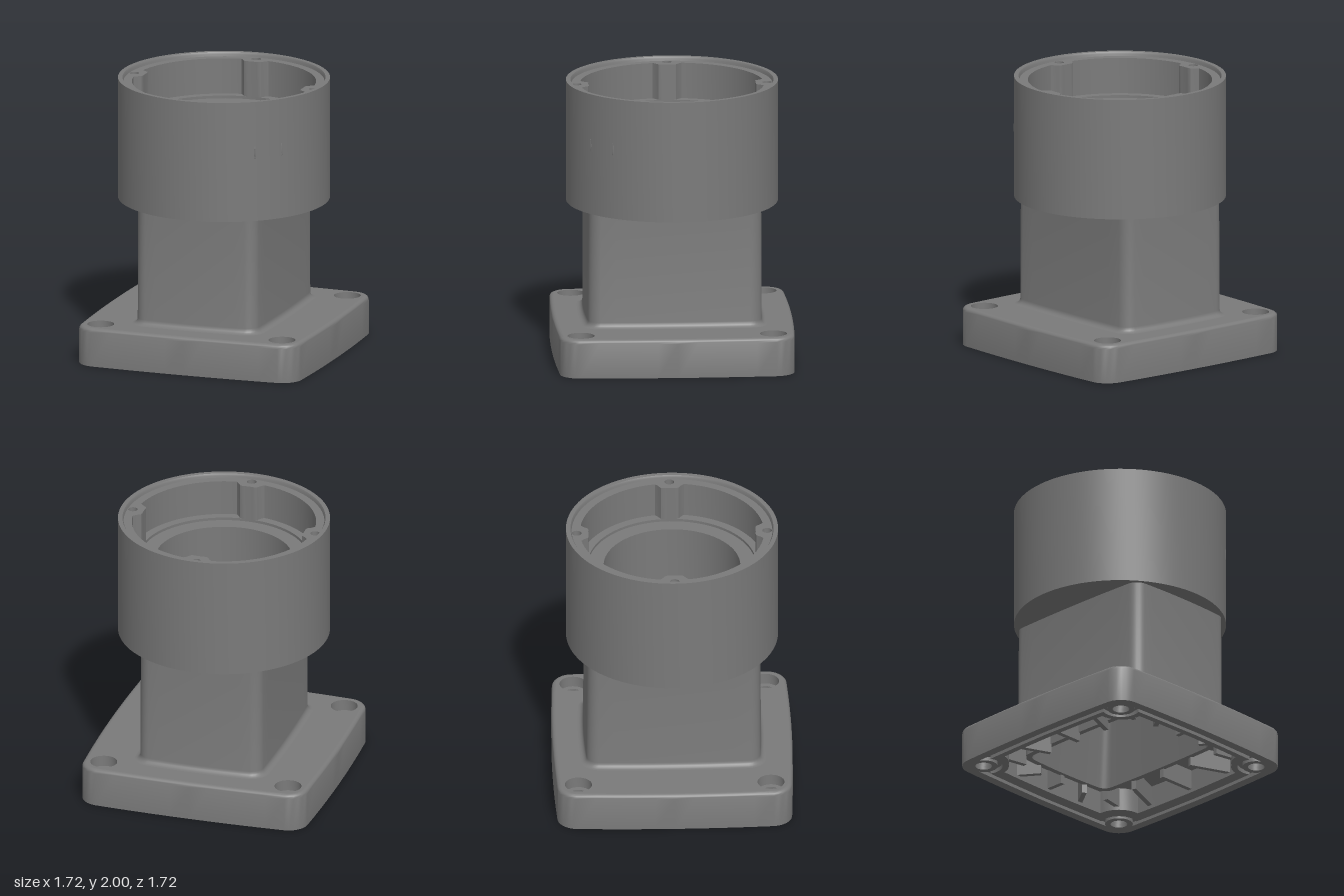
import * as THREE from 'three';
import { toCreasedNormals } from 'three/addons/utils/BufferGeometryUtils.js';

const V2 = (x, y) => new THREE.Vector2(x, y);

// Rounded rectangle whose sides bulge slightly, as a list of points
function section(hx, hz, r, bulge) {
  const pts = [];
  const corners = [[1, 1], [-1, 1], [-1, -1], [1, -1]];
  corners.forEach(([sx, sz], q) => {
    const cx = sx * (hx - r), cz = sz * (hz - r);
    for (let i = 0; i <= 6; i++) {
      const a = (q + i / 6) * Math.PI / 2;
      pts.push(V2(cx + r * Math.cos(a), cz + r * Math.sin(a)));
    }
    const last = pts[pts.length - 1];
    const [nx, nz] = corners[(q + 1) % 4];
    const a = (q + 1) * Math.PI / 2;
    const next = V2(nx * (hx - r) + r * Math.cos(a), nz * (hz - r) + r * Math.sin(a));
    for (let i = 1; i < 10; i++) pts.push(last.clone().lerp(next, i / 10));
  });
  return pts.map(p => V2(
    p.x * (1 - bulge * (p.y / hz) ** 2),
    p.y * (1 - bulge * (p.x / hx) ** 2)));
}

// Skin over sections [y, halfX, halfZ, cornerRadius]
function loft(rows, bulge, closed) {
  const pos = [], idx = [];
  let n = 0;
  for (const [y, hx, hz, r] of rows) {
    const s = section(hx, hz, r, bulge);
    n = s.length;
    s.forEach(p => pos.push(p.x, y, p.y));
  }
  const m = rows.length;
  for (let i = 0; i < (closed ? m : m - 1); i++) {
    for (let j = 0; j < n; j++) {
      const k = (j + 1) % n, u = (i + 1) % m;
      const a = i * n + j, b = i * n + k, c = u * n + k, d = u * n + j;
      idx.push(a, d, b, b, d, c);
    }
  }
  const g = new THREE.BufferGeometry();
  g.setAttribute('position', new THREE.Float32BufferAttribute(pos, 3));
  g.setIndex(idx);
  return toCreasedNormals(g, 0.6);
}

// Bulged square that curves inward around the four bolt holes
const BOLT = 0.69;
function notched(h, R) {
  const pts = [], t = Math.asin((h - BOLT) / R);
  for (let q = 0; q < 4; q++) {
    const rot = -q * Math.PI / 2;
    const add = (x, y) => pts.push(V2(x, y).rotateAround(V2(0, 0), rot));
    add(0, h * 1.02);
    add(0.3, h * 1.012);
    for (let i = 0; i <= 12; i++) {
      const a = Math.PI - t + (i / 12) * (Math.PI / 2 + 2 * t);
      add(BOLT + R * Math.cos(a), BOLT + R * Math.sin(a));
    }
    add(h * 1.012, 0.3);
  }
  return pts;
}

const circle = (x, y, r, n = 32) => Array.from({ length: n }, (_, i) =>
  V2(x + r * Math.cos(i / n * Math.PI * 2), y + r * Math.sin(i / n * Math.PI * 2)));

// Horizontal plate with holes between two heights
function plate(outline, holes, y0, y1) {
  const shape = new THREE.Shape(outline);
  holes.forEach(h => shape.holes.push(new THREE.Path(h)));
  const g = new THREE.ExtrudeGeometry(shape, { depth: y1 - y0, bevelEnabled: false });
  g.rotateX(-Math.PI / 2);
  g.translate(0, y0, 0);
  return toCreasedNormals(g, 0.5);
}

export function createModel() {
  const model = new THREE.Group();
  const grey = new THREE.MeshStandardMaterial({ color: 0x7a7a7a });
  grey.name = 'cast grey';
  const add = (name, geometry) => {
    const mesh = new THREE.Mesh(geometry, grey);
    mesh.name = name;
    model.add(mesh);
    return mesh;
  };
  const bolts = r => [[1, 1], [-1, 1], [-1, -1], [1, -1]]
    .map(([x, z]) => circle(x * BOLT, z * BOLT, r));

  // Flange: rounded outer skin
  const skirt = [[0, 0.83, 0.83, 0.1], [0, 0.86, 0.86, 0.13]];
  for (let i = 0; i <= 5; i++) {
    const a = i / 5 * Math.PI / 2, e = 0.83 + 0.03 * Math.cos(a);
    skirt.push([0.25 + 0.03 * Math.sin(a), e, e, e - 0.73]);
  }
  add('flangeEdge', loft(skirt, 0.03, false));

  // Flange: gasket groove, hollow rim and counterbored top
  const outline = section(0.83, 0.83, 0.1, 0.03);
  const cavity = notched(0.70, 0.18);
  add('flangeOuterLip', plate(outline, [notched(0.78, 0.10), ...bolts(0.06)], 0, 0.03));
  add('flangeInnerLip', plate(notched(0.745, 0.135), [cavity], 0, 0.03));
  add('flangeRim', plate(outline, [cavity, ...bolts(0.06)], 0.03, 0.2));
  add('flangeTop', plate(outline, [section(0.42, 0.57, 0.06, 0.03), ...bolts(0.097)], 0.2, 0.28));

  // Column with a tapered duct and a fillet at its foot
  const column = [
    [1.14, 0.31, 0.42, 0.04], [0.12, 0.40, 0.55, 0.06],
    [0.12, 0.44, 0.59, 0.08], [0.27, 0.44, 0.59, 0.08],
  ];
  for (let i = 0; i <= 5; i++) {
    const a = i / 5 * Math.PI / 2, f = 0.04 * (1 - Math.sin(a));
    column.push([0.28 + 0.04 * (1 - Math.cos(a)), 0.47 + f, 0.635 + f, 0.08 + f]);
  }
  column.push([1.14, 0.467, 0.632, 0.08]);
  add('column', loft(column, 0.03, true));

  // Stiffening ribs under the flange, from duct to rim
  const ribs = new THREE.Group();
  ribs.name = 'ribs';
  model.add(ribs);
  const rib = (x0, z0, x1, z1) => {
    const g = new THREE.BoxGeometry(Math.hypot(x1 - x0, z1 - z0), 0.15, 0.035);
    const mesh = new THREE.Mesh(g, grey);
    mesh.name = 'rib';
    mesh.position.set((x0 + x1) / 2, 0.13, (z0 + z1) / 2);
    mesh.rotation.y = -Math.atan2(z1 - z0, x1 - x0);
    ribs.add(mesh);
  };
  for (const s of [-1, 1]) {
    for (const t of [-1, 0, 1]) {
      rib(s * 0.425, t * 0.28, s * 0.72, t * 0.40);
      rib(t * 0.22, s * 0.575, t * 0.32, s * 0.72);
    }
    for (const t of [-1, 1]) rib(s * 0.41, t * 0.55, s * 0.57, t * 0.58);
  }

  // Drum: turned shell with stepped bore
  const profile = [
    [0.45, 1.12], [0.76, 1.12], [0.76, 2], [0.728, 2], [0.72, 1.985], [0.72, 1.71],
    [0.60, 1.71], [0.60, 1.69], [0.49, 1.69], [0.49, 1.2], [0.45, 1.2], [0.45, 1.12],
  ].map(([r, y]) => V2(r, y));
  add('drum', toCreasedNormals(new THREE.LatheGeometry(profile, 96), 0.5));

  // Inner ring with four screw bosses
  const bore = [];
  for (let i = 0; i < 240; i++) {
    const a = i / 240 * Math.PI * 2;
    const off = Math.abs(Math.asin(Math.sin(2 * a)) / 2);
    const k = THREE.MathUtils.smoothstep(off, 0.09, 0.16);
    bore.push(V2(Math.cos(a), Math.sin(a)).multiplyScalar(0.60 + 0.06 * k));
  }
  const screws = [0, 1, 2, 3].map(q =>
    circle(0.682 * Math.cos(q * Math.PI / 2), 0.682 * Math.sin(q * Math.PI / 2), 0.034, 20));
  add('bossRing', plate(circle(0, 0, 0.721, 96), [bore, ...screws], 1.71, 1.97));

  // Two slim marks on the drum's side
  for (const [x, z] of [[0.455, 0.608], [0.605, 0.458]]) {
    const g = new THREE.SphereGeometry(1, 12, 10);
    g.scale(0.007, 0.048, 0.004);
    const mark = add('drumMark', g);
    mark.position.set(x, 1.625, z);
    mark.rotation.y = Math.atan2(x, z);
  }
  return model;
}
